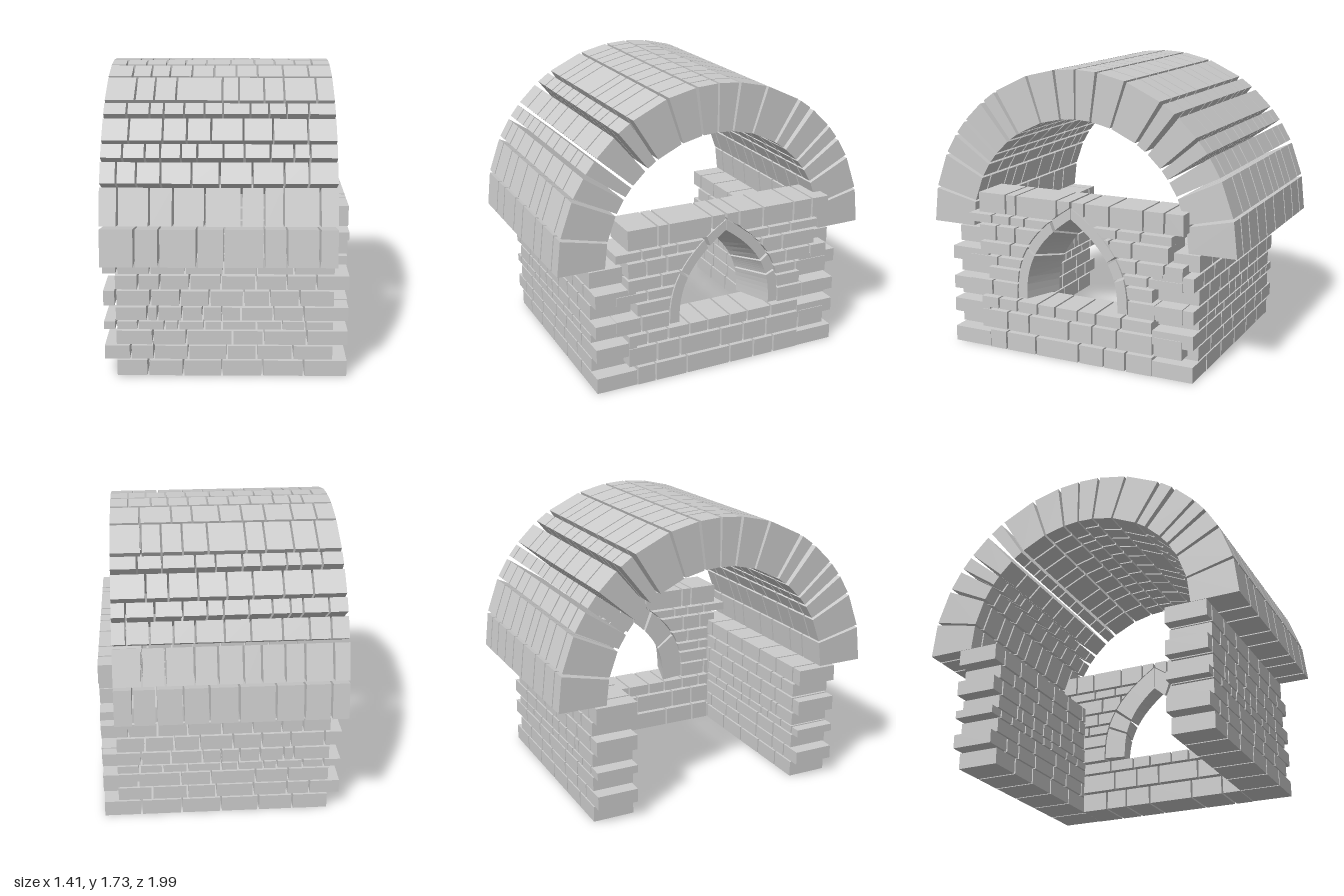
import * as THREE from 'three';
import { mergeGeometries } from 'three/addons/utils/BufferGeometryUtils.js';

const stone = new THREE.MeshStandardMaterial({ color: 0xcccccc, flatShading: true });
const GAP = 0.006; // half of a mortar joint

// Prism with a [z, y] outline, running along x
function prism(outline, x0, x1) {
  const shape = new THREE.Shape(outline.map(([z, y]) => new THREE.Vector2(-z, y)));
  const geo = new THREE.ExtrudeGeometry(shape, { depth: x1 - x0, bevelEnabled: false });
  return geo.rotateY(Math.PI / 2).translate(x0, 0, 0);
}

function addCourse(group, name, geos) {
  const mesh = new THREE.Mesh(mergeGeometries(geos), stone);
  mesh.name = name;
  group.add(mesh);
}

// Row of stones sharing one outline, split at the given x joints
function rowAlongX(outline, start, joints, end) {
  const edges = [start - GAP, ...joints, end + GAP];
  return edges.slice(1).map((x, i) => prism(outline, edges[i] + GAP, x - GAP));
}

// ---- Barrel vault ----
const VAULT_Y = 0.73, R_IN = 0.712, R_OUT = 0.997;
// start and end angle of each course, from springing to crown
const COURSES = [[0.3, 12.5], [13.5, 25.7], [27, 34], [35.5, 40.3], [41.6, 50], [51.9, 56.7],
  [58.1, 70.9], [71.9, 81.6], [82.6, 89.6]];
const FRONT_VAULT = [
  [-0.51, -0.375, -0.165, -0.015, 0.205, 0.33, 0.51],
  [-0.6, -0.425, -0.295, -0.12, 0.08, 0.205, 0.31, 0.51],
  [-0.61, -0.5, -0.365, -0.195, -0.04, 0.14, 0.315, 0.45],
  [-0.58, -0.455, -0.37, -0.255, -0.165, -0.02, 0.095, 0.24, 0.37, 0.46],
  [-0.55, -0.36, -0.225, -0.09, 0.09, 0.255, 0.45],
  [-0.57, -0.44, -0.36, -0.245, -0.13, -0.025, 0.13, 0.235, 0.335, 0.46],
  [-0.53, -0.42, -0.295, -0.03, 0.065, 0.21, 0.325, 0.51],
  [-0.56, -0.45, -0.34, -0.21, -0.08, 0.05, 0.175, 0.325, 0.475],
  [-0.61, -0.49, -0.37, -0.255, -0.13, 0.015, 0.16, 0.28, 0.4, 0.505]];
const BACK_VAULT = [
  [-0.6, -0.45, -0.29, -0.085, 0.08, 0.225, 0.375, 0.505],
  [-0.61, -0.45, -0.34, -0.21, -0.11, 0.03, 0.16, 0.32, 0.45],
  [-0.6, -0.48, -0.33, -0.155, -0.01, 0.15, 0.27, 0.4, 0.53],
  [-0.595, -0.45, -0.38, -0.28, -0.15, -0.01, 0.08, 0.215, 0.37, 0.53],
  [-0.515, -0.35, -0.18, -0.035, 0.125, 0.29, 0.415],
  [-0.58, -0.46, -0.38, -0.235, -0.13, 0.02, 0.135, 0.32, 0.46],
  [-0.57, -0.43, -0.27, -0.16, 0.055, 0.2, 0.32, 0.435],
  [-0.59, -0.45, -0.29, -0.155, -0.025, 0.135, 0.255, 0.44],
  [-0.535, -0.46, -0.36, -0.22, -0.09, 0.035, 0.15, 0.27, 0.37, 0.505]];

function buildVault() {
  const vault = new THREE.Group();
  vault.name = 'barrelVault';
  const polar = (r, deg, side) => {
    const a = THREE.MathUtils.degToRad(deg);
    return [side * r * Math.cos(a), VAULT_Y + r * Math.sin(a)];
  };
  for (const [side, joints] of [[1, FRONT_VAULT], [-1, BACK_VAULT]]) {
    COURSES.forEach(([a0, a1], i) => {
      const outline = [polar(R_IN, a0, side), polar(R_OUT, a0, side), polar(R_OUT, a1, side), polar(R_IN, a1, side)];
      addCourse(vault, 'vaultCourse', rowAlongX(outline, -0.7, joints[i], 0.61));
    });
  }
  return vault;
}

// ---- Long walls ----
const WALL_Y = [[0, 0.095], [0.105, 0.187], [0.196, 0.28], [0.29, 0.337], [0.346, 0.425],
  [0.436, 0.525], [0.536, 0.617], [0.63, 0.727]];
const WALL_JOINTS = [
  [-0.46, -0.255, -0.03, 0.205, 0.445],
  [-0.56, -0.425, -0.225, 0, 0.17, 0.38],
  [-0.43, -0.235, 0.03, 0.21, 0.46],
  [-0.64, -0.515, -0.36, -0.28, -0.13, -0.03, 0.17, 0.315, 0.45],
  [-0.46, -0.4, -0.26, -0.14, -0.03, 0.08, 0.265, 0.44],
  [-0.64, -0.44, -0.27, -0.1, 0.095, 0.245, 0.415],
  [-0.51, -0.385, -0.215, -0.035, 0.165, 0.34, 0.51],
  [-0.63, -0.44, -0.24, -0.02, 0.17, 0.38]];

function buildLongWall(name, z0, z1, shift) {
  const wall = new THREE.Group();
  wall.name = name;
  WALL_Y.forEach(([y0, y1], i) => {
    const outline = [[z0, y0], [z1, y0], [z1, y1], [z0, y1]];
    // alternate courses step in and out at both ends
    const [start, end] = i % 2 ? [-0.71, 0.61] : [-0.64, 0.695];
    addCourse(wall, 'wallCourse', rowAlongX(outline, start, WALL_JOINTS[i].map((x) => x + shift), end));
  });
  return wall;
}

// ---- End wall with a splayed pointed window ----
const X_IN = 0.45, X_OUT = 0.7, MID = -0.012;
const bulge = (u) => 1 - Math.pow(THREE.MathUtils.clamp(u, 0, 1), 2.6);
const ARCH = { back: { w: 0.36, y: 0.35, h: 0.59 }, face: { w: 0.3, y: 0.35, h: 0.525 }, inner: { w: 0.22, y: 0.34, h: 0.45 } };
const backOfArch = (y) => ARCH.back.w * bulge((y - ARCH.back.y) / ARCH.back.h);

// bottom, top, then z joints of each course
const END_ROWS = [
  [0, 0.112, 0.56, 0.44, 0.235, -0.055, -0.22, -0.36, -0.535],
  [0.128, 0.24, 0.615, 0.43, 0.28, 0.01, -0.145, -0.305, -0.535, -0.72],
  [0.255, 0.322, 0.615, 0.49, 0.36, 0.22, 0.1, -0.05, -0.17, -0.335, -0.53],
  [0.34, 0.43, 0.69, 0.53, MID, -0.55, -0.72],
  [0.443, 0.515, 0.56, MID, -0.535],
  [0.53, 0.583, 0.69, 0.49, MID, -0.5, -0.72],
  [0.598, 0.67, 0.615, 0.4, MID, -0.43, -0.6, -0.72],
  [0.685, 0.775, 0.615, 0.495, 0.365, MID, -0.26, -0.4, -0.63],
  [0.79, 0.84, 0.69, 0.525, 0.4, 0.3, MID, -0.305, -0.455, -0.65],
  [0.855, 0.975, 0.615, 0.425, 0.355, 0.08, MID, -0.1, -0.26, -0.47, -0.6, -0.72]];

// Outline of one stone, cut back to the window arch
function cutStone(zA, zB, y0, y1) {
  if (y1 < ARCH.back.y) return [[zA, y0], [zB, y0], [zB, y1], [zA, y1]];
  const side = (zA + zB) / 2 > MID ? 1 : -1;
  const d = [Math.abs(zA - MID), Math.abs(zB - MID)];
  const lo = Math.min(...d), hi = Math.max(...d), edge = [];
  for (let i = 0; i <= 12; i++) {
    const y = y0 + (y1 - y0) * i / 12;
    const near = Math.max(lo, backOfArch(y) + 0.008);
    if (near < hi - 0.002) edge.push([MID + side * near, y]);
  }
  if (edge.length < 2) return null;
  const far = MID + side * hi;
  return [...edge, [far, y1], [far, edge[0][1]]];
}

// Voussoir lofted between two heights of the arch, splayed through the wall
function voussoir(u0, u1, side) {
  const steps = 6, loops = [], pos = [];
  for (let k = 0; k <= steps; k++) {
    const u = u0 + (u1 - u0) * k / steps;
    const at = (c, x) => [x, c.y + u * c.h, MID + side * c.w * bulge(u)];
    const loop = [at(ARCH.back, X_OUT), at(ARCH.face, X_OUT), at(ARCH.inner, X_IN), at(ARCH.back, X_IN)];
    loops.push(side > 0 ? loop : loop.reverse());
  }
  const quad = (a, b, c, d) => pos.push(...a, ...b, ...c, ...a, ...c, ...d);
  for (let k = 0; k < steps; k++) {
    for (let j = 0; j < 4; j++) {
      const n = (j + 1) % 4;
      quad(loops[k][j], loops[k][n], loops[k + 1][n], loops[k + 1][j]);
    }
  }
  const [p, q] = [loops[0], loops[steps]];
  quad(p[3], p[2], p[1], p[0]);
  quad(q[0], q[1], q[2], q[3]);
  const geo = new THREE.BufferGeometry();
  geo.setAttribute('position', new THREE.Float32BufferAttribute(pos, 3));
  geo.computeVertexNormals();
  return geo;
}

function buildEndWall() {
  const wall = new THREE.Group();
  wall.name = 'endWall';
  for (const [y0, y1, ...edges] of END_ROWS) {
    const geos = [];
    for (let i = 0; i + 1 < edges.length; i++) {
      const outline = cutStone(edges[i] - GAP, edges[i + 1] + GAP, y0, y1);
      if (outline) geos.push(prism(outline, X_IN, X_OUT));
    }
    addCourse(wall, 'endWallCourse', geos);
  }
  // Window surround, three stones each side
  for (const [side, cuts] of [[1, [0, 0.53, 0.84, 1]], [-1, [0, 0.36, 0.55, 1]]]) {
    for (let i = 0; i < 3; i++) {
      const top = i < 2 ? cuts[i + 1] - 0.012 : 0.998;
      addCourse(wall, 'windowArchStone', [voussoir(cuts[i] + (i ? 0.012 : 0), top, side)]);
    }
  }
  return wall;
}

export function createModel() {
  const model = new THREE.Group();
  model.name = 'vaultedStoneChamber';
  model.add(
    buildVault(),
    buildLongWall('frontWall', 0.56, 0.81, 0),
    buildLongWall('backWall', -0.78, -0.53, 0.03),
    buildEndWall());
  return model;
}
